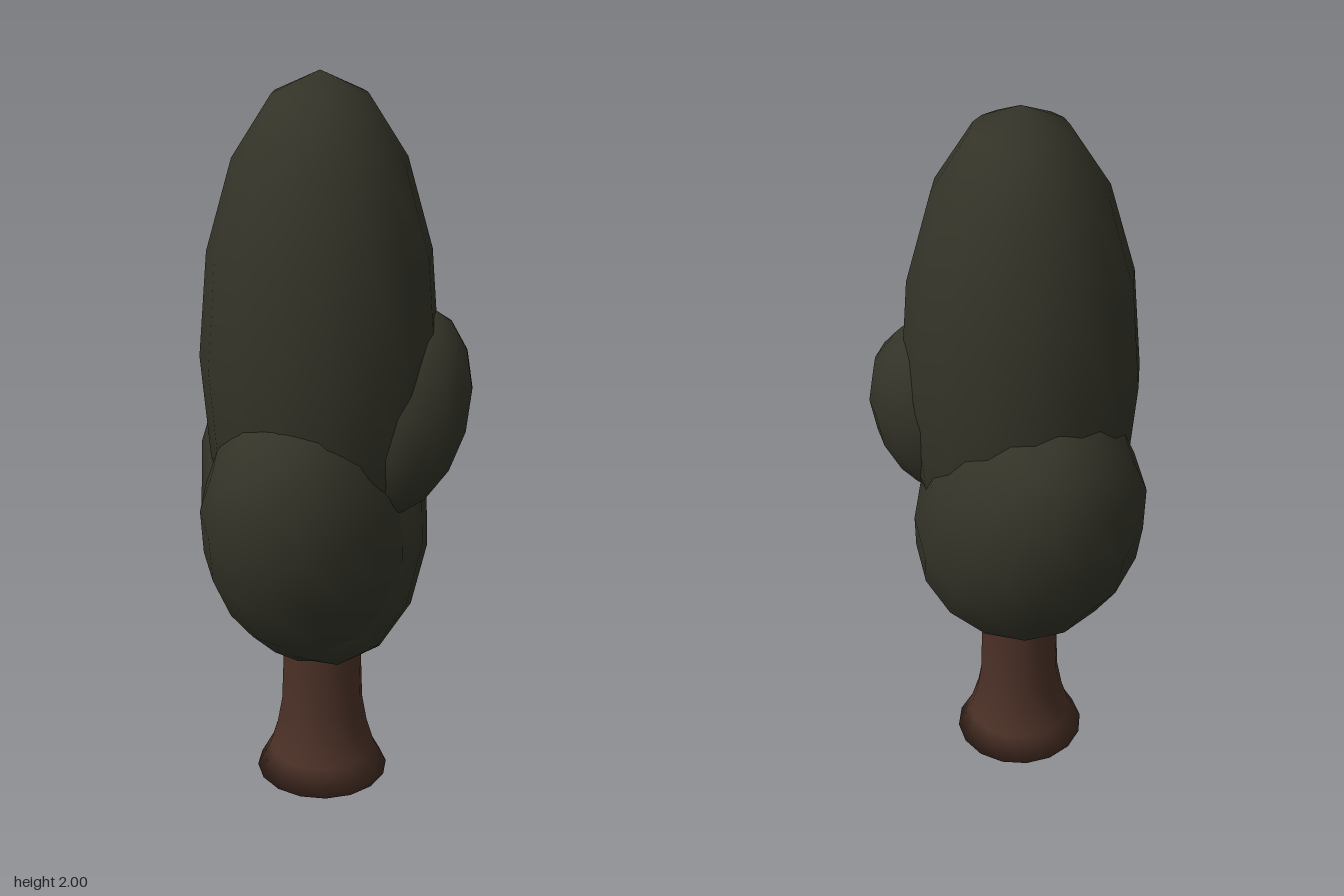
import * as THREE from 'three';

export function createModel() {
  const tree = new THREE.Group();
  tree.name = 'tree';

  const bark = new THREE.MeshStandardMaterial({ color: 0x4a3026 });
  bark.name = 'bark brown';
  const leaf = new THREE.MeshStandardMaterial({ color: 0x333328 });
  leaf.name = 'dark leaf green';

  // Trunk: flared base, closed underneath, running up into the foliage
  const profile = [
    [0, 0], [0.187, 0], [0.15, 0.07], [0.129, 0.14], [0.115, 0.22], [0.11, 0.36], [0.11, 0.65],
  ].map(([r, y]) => new THREE.Vector2(r, y));
  const trunk = new THREE.Mesh(new THREE.LatheGeometry(profile, 16), bark);
  trunk.name = 'trunk';
  trunk.position.set(0.01, 0, 0.03);
  tree.add(trunk);

  // Foliage: egg-shaped clumps, each leaning along its own axis
  const up = new THREE.Vector3(0, 1, 0);
  function addClump(name, center, radius, halfLength, lean) {
    const geometry = new THREE.SphereGeometry(1, 16, 8);
    geometry.scale(radius, halfLength, radius);
    const clump = new THREE.Mesh(geometry, leaf);
    clump.name = name;
    clump.position.set(...center);
    clump.quaternion.setFromUnitVectors(up, new THREE.Vector3(...lean).normalize());
    tree.add(clump);
  }

  addClump('mainCrown', [0, 1.26, 0.03], 0.316, 0.74, [0, 1, 0]);
  addClump('frontClump', [-0.08, 0.777, 0.105], 0.275, 0.425, [-0.33, 1, 0.33]);
  addClump('backClump', [0.02, 0.83, -0.045], 0.315, 0.48, [0.1, 1, -0.57]);
  addClump('smallClump', [0.165, 1.118, 0.16], 0.192, 0.29, [0.36, 1, -0.1]);

  return tree;
}
